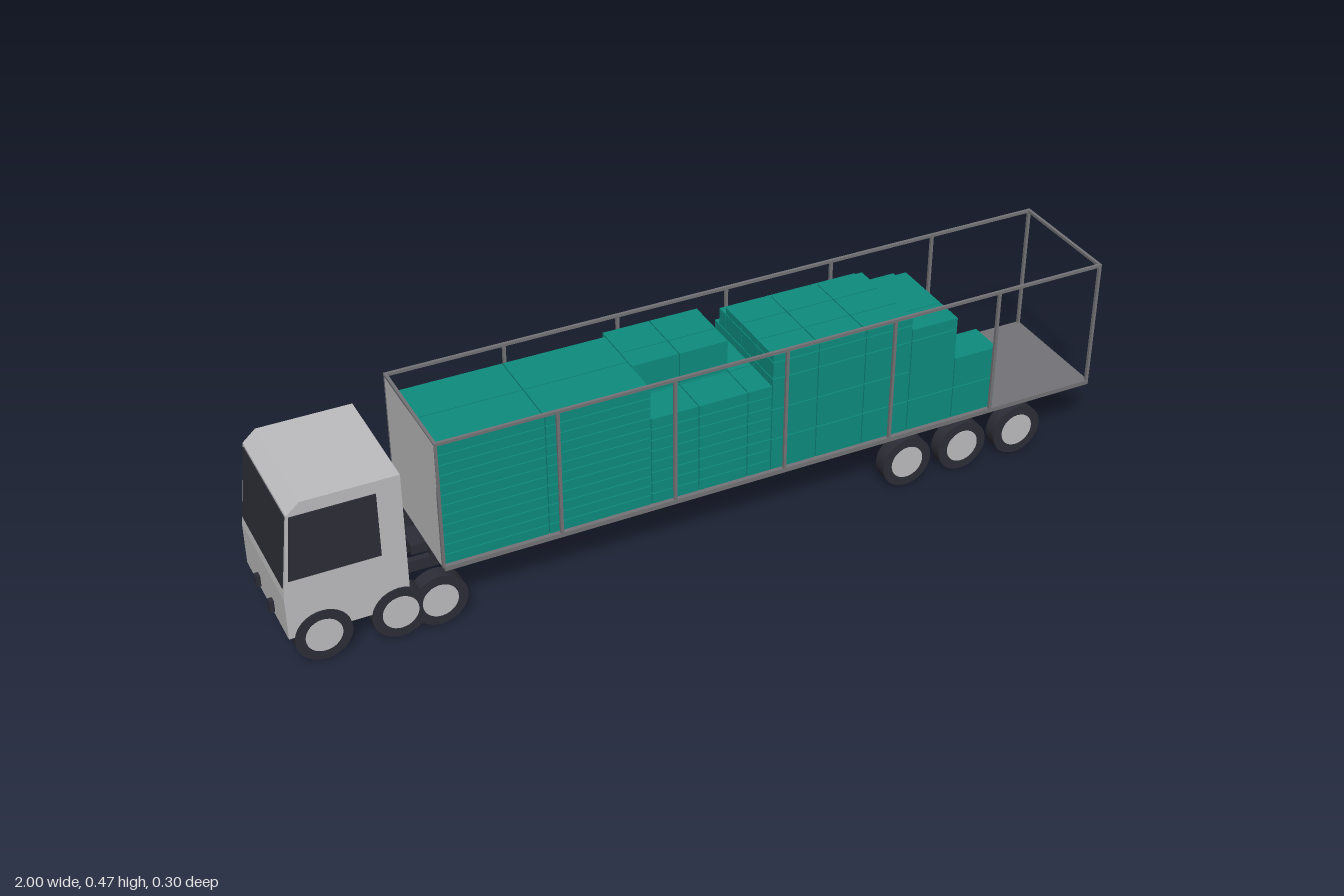
import * as THREE from 'three';

const mat = (name, color) => {
  const m = new THREE.MeshStandardMaterial({ color });
  m.name = name;
  return m;
};

export function createModel() {
  const lightGrey = mat('light grey', 0xbebec0);
  const frameGrey = mat('frame grey', 0x747478);
  const dark = mat('dark charcoal', 0x2d2d37);
  const teal = mat('cargo teal', 0x0d8c7e);

  const truck = new THREE.Group();
  truck.name = 'flatbedTruck';
  const group = (name) => {
    const g = new THREE.Group();
    g.name = name;
    truck.add(g);
    return g;
  };
  const add = (parent, name, geo, material) => {
    const mesh = new THREE.Mesh(geo, material);
    mesh.name = name;
    parent.add(mesh);
    return mesh;
  };
  // Box given by its limits on each axis
  const box = (parent, name, material, [x0, x1], [y0, y1], [z0, z1]) =>
    add(parent, name, new THREE.BoxGeometry(x1 - x0, y1 - y0, z1 - z0), material)
      .position.set((x0 + x1) / 2, (y0 + y1) / 2, (z0 + z1) / 2);
  // Side profile in x, y drawn out along z
  const slab = (parent, name, material, points, z0, z1) => {
    const shape = new THREE.Shape(points.map(([x, y]) => new THREE.Vector2(x, y)));
    const geo = new THREE.ExtrudeGeometry(shape, { depth: z1 - z0, bevelEnabled: false });
    add(parent, name, geo, material).position.z = z0;
  };

  // Cab with slanted nose
  const cab = group('cab');
  slab(cab, 'cabBody', lightGrey, [
    [-0.99, 0.076], [-0.72, 0.076], [-0.72, 0.412], [-0.935, 0.412], [-0.965, 0.385], [-0.99, 0.18],
  ], -0.146, 0.146);
  slab(cab, 'windshield', dark, [
    [-0.989, 0.205], [-0.985, 0.205], [-0.964, 0.38], [-0.968, 0.38],
  ], -0.138, 0.138);
  for (const s of [-1, 1]) {
    slab(cab, 'sideWindow', dark, [
      [-0.977, 0.225], [-0.775, 0.225], [-0.775, 0.382], [-0.96, 0.382],
    ], s * 0.147 - 0.002, s * 0.147 + 0.002);
  }

  // Chassis: tractor rails, trailer rails and coupling plate
  const chassis = group('chassis');
  for (const s of [-1, 1]) {
    const z = [s * 0.048 - 0.008, s * 0.048 + 0.008];
    box(chassis, 'tractorRail', dark, [-1, -0.6], [0.085, 0.113], z);
    box(chassis, 'trailerRail', dark, [-0.64, 0.99], [0.111, 0.138], z);
  }
  box(chassis, 'couplingPlate', dark, [-0.675, -0.54], [0.113, 0.137], [-0.035, 0.035]);

  // Wheels: tyre with a pale disc on the outside
  const wheels = group('wheels');
  const tyreGeo = new THREE.CylinderGeometry(0.0635, 0.0635, 0.034, 32).rotateX(Math.PI / 2);
  const hubGeo = new THREE.CylinderGeometry(0.041, 0.041, 0.004, 32).rotateX(Math.PI / 2);
  for (const x of [-0.915, -0.745, -0.655, 0.503, 0.653, 0.805]) {
    for (const s of [-1, 1]) {
      add(wheels, 'tyre', tyreGeo, dark).position.set(x, 0.0635, s * 0.132);
      add(wheels, 'hub', hubGeo, lightGrey).position.set(x, 0.0635, s * 0.148);
    }
  }

  // Trailer floor, front wall and open cage
  const trailer = group('trailer');
  box(trailer, 'floor', frameGrey, [-0.64, 1], [0.137, 0.148], [-0.15, 0.15]);
  box(trailer, 'frontWall', lightGrey, [-0.645, -0.64], [0.148, 0.462], [-0.148, 0.148]);
  const t = 0.007;
  for (const s of [-1, 1]) {
    const z = s > 0 ? [0.15 - t, 0.15] : [-0.15, -0.15 + t];
    box(trailer, 'topRail', frameGrey, [-0.645, 1], [0.466 - t, 0.466], z);
    for (let i = 0; i < 7; i++) {
      const x = -0.645 + i * (1.645 - t) / 6;
      box(trailer, 'post', frameGrey, [x, x + t], [0.148, 0.466 - t], z);
    }
  }
  for (const x of [-0.645, 1 - t]) {
    box(trailer, 'crossRail', frameGrey, [x, x + t], [0.466 - t, 0.466], [-0.143, 0.143]);
  }

  // Cargo: stacks cut along x, y and z with narrow gaps between cartons
  const gap = 0.0012;
  const stack = (name, xs, ys, zs) => {
    const g = new THREE.Group();
    g.name = name;
    cargo.add(g);
    for (let i = 1; i < xs.length; i++) {
      for (let j = 1; j < ys.length; j++) {
        for (let k = 1; k < zs.length; k++) {
          box(g, 'carton', teal,
            [xs[i - 1] + gap, xs[i] - gap],
            [ys[j - 1] + gap, ys[j] - gap],
            [zs[k - 1] + gap, zs[k] - gap]);
        }
      }
    }
  };
  const steps = (a, b, n) => Array.from({ length: n + 1 }, (_, i) => a + (b - a) * i / n);
  const cargo = group('cargo');
  const base = 0.148;
  // Front stack of flat cartons, with slim cartons beside it
  stack('frontStack', [-0.638, -0.395, -0.15], steps(base, 0.454, 12), [-0.092, 0.025, 0.142]);
  stack('slimCartons', [-0.638, -0.6, -0.565, -0.51], steps(base, 0.43, 4), [-0.125, -0.094]);
  // Middle stack with a raised row behind
  stack('middleStack', [-0.15, -0.035, 0.085, 0.145], steps(base, 0.374, 8), [-0.09, 0.045, 0.142]);
  stack('middleRearRow', [-0.15, -0.035, 0.085], [base, 0.262, 0.374], [-0.11, -0.09]);
  stack('middleTop', [-0.15, -0.035, 0.085], [0.374, 0.454], [-0.11, -0.015, 0.045]);
  // Tall rear stack and its top layers
  stack('rearStack', [0.145, 0.26, 0.38, 0.5], [base, 0.23, 0.31, 0.39], [-0.142, -0.045, 0.05, 0.142]);
  stack('rearTop', [0.145, 0.26, 0.38, 0.5], [0.39, 0.433, 0.452], [-0.088, -0.01, 0.066, 0.142]);
  stack('rearTopSide', [0.145, 0.26, 0.38, 0.5], [0.39, 0.433], [-0.12, -0.088]);
  // Steps down to the tail
  stack('tallStep', [0.5, 0.62], [base, 0.23, 0.39], [-0.142, -0.045, 0.05, 0.142]);
  stack('tallStepTop', [0.5, 0.62], [0.39, 0.421], [-0.088, 0.066, 0.142]);
  stack('lowStep', [0.62, 0.735], [base, 0.23], [-0.138, -0.045, 0.05, 0.142]);
  stack('lowStepTop', [0.62, 0.735], [0.23, 0.311], [0.05, 0.142]);

  return truck;
}
